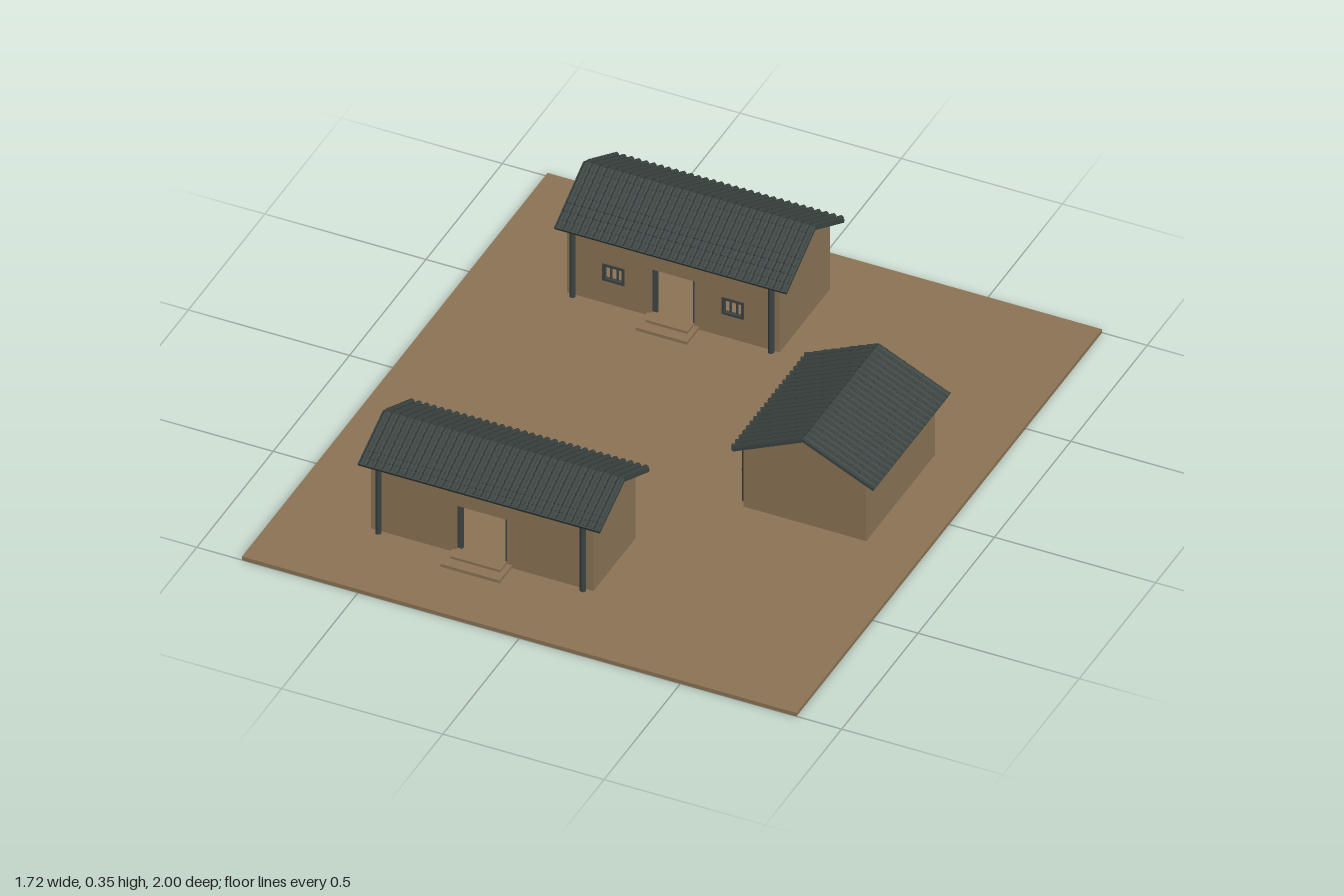
import * as THREE from 'three';
import { mergeGeometries } from 'three/addons/utils/BufferGeometryUtils.js';

const earth = new THREE.MeshStandardMaterial({ color: 0x8b7355 });
earth.name = 'earth brown';
const slate = new THREE.MeshStandardMaterial({ color: 0x3b4442, side: THREE.DoubleSide });
slate.name = 'slate grey';

const GROUND = 0.012;
const WALL = 0.015;

function add(parent, name, geometry, material, x = 0, y = 0, z = 0) {
  const mesh = new THREE.Mesh(geometry, material);
  mesh.name = name;
  mesh.position.set(x, y, z);
  parent.add(mesh);
  return mesh;
}

function box(parent, name, material, w, h, d, x, y, z) {
  return add(parent, name, new THREE.BoxGeometry(w, h, d), material, x, y, z);
}

const rect = (C, x0, x1, y0, y1) => {
  const p = new C();
  p.moveTo(x0, y0);
  p.lineTo(x1, y0);
  p.lineTo(x1, y1);
  p.lineTo(x0, y1);
  p.closePath();
  return p;
};

// One roof slope: a slab with rows of overlapping round tiles
function roofSlope(length, half, eave, ridge) {
  const slope = new THREE.Group();
  slope.name = 'roofSlope';
  const run = Math.hypot(half, ridge - eave);
  const tilt = new THREE.Group();
  tilt.rotation.x = -Math.atan2(half, ridge - eave);
  tilt.position.set(0, eave, half);
  slope.add(tilt);
  box(tilt, 'roofSlab', slate, length, run, 0.01, 0, run / 2, -0.005);

  const courses = 8;
  const profile = [];
  for (let i = 0; i < courses; i++) {
    profile.push(new THREE.Vector2(0.0095, (run * i) / courses));
    profile.push(new THREE.Vector2(0.0065, (run * (i + 1)) / courses));
  }
  const count = Math.round(length / 0.0235);
  const pitch = length / count;
  const rows = [];
  for (let i = 0; i < count; i++) {
    const row = new THREE.LatheGeometry(profile, 6);
    row.translate(-length / 2 + pitch * (i + 0.5), 0, 0);
    rows.push(row);
  }
  add(tilt, 'roofTiles', mergeGeometries(rows), slate);
  return slope;
}

// Steps that lead up to a doorway, going towards +z
function steps(parent, width, z) {
  box(parent, 'lowerStep', earth, width, 0.01, 0.08, 0, GROUND + 0.005, z + 0.04);
  box(parent, 'upperStep', earth, width - 0.03, 0.018, 0.045, 0, GROUND + 0.009, z + 0.0225);
}

// A house with its ridge along x and its doorway towards +z
function house(name, o) {
  const g = new THREE.Group();
  g.name = name;
  const { length, half, eave, ridge, wallLength, front, back, door, doorTop } = o;
  const L = wallLength / 2;
  const roofAt = z => ridge - ((ridge - eave) * Math.abs(z)) / half - 0.011;

  for (const turn of [0, Math.PI]) {
    const s = roofSlope(length, half, eave, ridge);
    s.rotation.y = turn;
    g.add(s);
  }

  // Long walls with openings, each in its own frame facing +z
  const sides = [
    { turn: 0, z: front, open: true, windows: o.windows || [] },
    { turn: Math.PI, z: -back, open: o.through, windows: [] },
  ];
  for (const side of sides) {
    const f = new THREE.Group();
    f.name = side.turn ? 'backSide' : 'frontSide';
    f.rotation.y = side.turn;
    g.add(f);
    const top = roofAt(side.z);
    const shape = new THREE.Shape();
    shape.moveTo(-L, GROUND);
    if (side.open) {
      shape.lineTo(-door, GROUND);
      shape.lineTo(-door, doorTop);
      shape.lineTo(door, doorTop);
      shape.lineTo(door, GROUND);
    }
    shape.lineTo(L, GROUND);
    shape.lineTo(L, top);
    shape.lineTo(-L, top);
    shape.closePath();
    for (const x of side.windows) {
      shape.holes.push(rect(THREE.Path, x - 0.03, x + 0.03, 0.095, 0.145));
    }
    add(f, 'longWall', new THREE.ExtrudeGeometry(shape, { depth: WALL, bevelEnabled: false }),
      earth, 0, 0, side.z - WALL);

    if (side.open) {
      const h = doorTop - GROUND;
      for (const s of [-1, 1]) {
        box(f, 'doorJamb', slate, 0.005, h, 0.03, s * (door - 0.0025), GROUND + h / 2, side.z - 0.016);
      }
      steps(f, door * 2 + 0.03, side.z);
    }

    // Lattice windows
    for (const x of side.windows) {
      for (const s of [-1, 1]) {
        box(f, 'windowFrame', slate, 0.008, 0.058, 0.012, x + s * 0.03, 0.12, side.z - 0.003);
        box(f, 'windowFrame', slate, 0.068, 0.008, 0.012, x, 0.12 + s * 0.025, side.z - 0.003);
        box(f, 'windowBar', slate, 0.005, 0.05, 0.006, x + s * 0.01, 0.12, side.z - 0.006);
      }
    }
  }

  // Gable end walls
  const gable = new THREE.Shape();
  gable.moveTo(-front, GROUND);
  gable.lineTo(-back, GROUND);
  gable.lineTo(-back, roofAt(back));
  gable.lineTo(0, roofAt(0));
  gable.lineTo(-front, roofAt(front));
  gable.closePath();
  for (const s of [-1, 1]) {
    const geo = new THREE.ExtrudeGeometry(gable, { depth: WALL, bevelEnabled: false });
    geo.rotateY(Math.PI / 2);
    add(g, 'gableWall', geo, earth, s > 0 ? L - WALL : -L, 0, 0);
  }

  // Posts under the front eave
  const postZ = front + 0.01;
  const postTop = roofAt(postZ);
  for (const s of [-1, 1]) {
    add(g, 'post', new THREE.CylinderGeometry(0.009, 0.009, postTop - GROUND, 10), slate,
      s * o.post, (postTop + GROUND) / 2, postZ);
  }
  return g;
}

export function createModel() {
  const model = new THREE.Group();
  model.name = 'courtyard';
  box(model, 'ground', earth, 1.72, GROUND, 2, 0, GROUND / 2, 0);

  // Gatehouse with a doorway on both sides
  const gate = house('gatehouse', {
    length: 0.75, half: 0.165, eave: 0.245, ridge: 0.32, wallLength: 0.69,
    front: 0.14, back: -0.135, door: 0.077, doorTop: 0.175, through: true, post: 0.317,
  });
  gate.position.set(-0.245, 0, 0.585);

  // Main hall with windows
  const hall = house('mainHall', {
    length: 0.72, half: 0.192, eave: 0.243, ridge: 0.345, wallLength: 0.66,
    front: 0.17, back: -0.16, door: 0.065, doorTop: 0.175, windows: [-0.185, 0.185], post: 0.308,
  });
  hall.position.set(-0.24, 0, -0.685);

  // Side house facing the courtyard
  const side = house('sideHouse', {
    length: 0.5, half: 0.222, eave: 0.222, ridge: 0.325, wallLength: 0.45,
    front: 0.195, back: -0.185, door: 0.06, doorTop: 0.165, post: 0.195,
  });
  side.position.set(0.505, 0, -0.04);
  side.rotation.y = -Math.PI / 2;

  model.add(gate, hall, side);
  return model;
}
